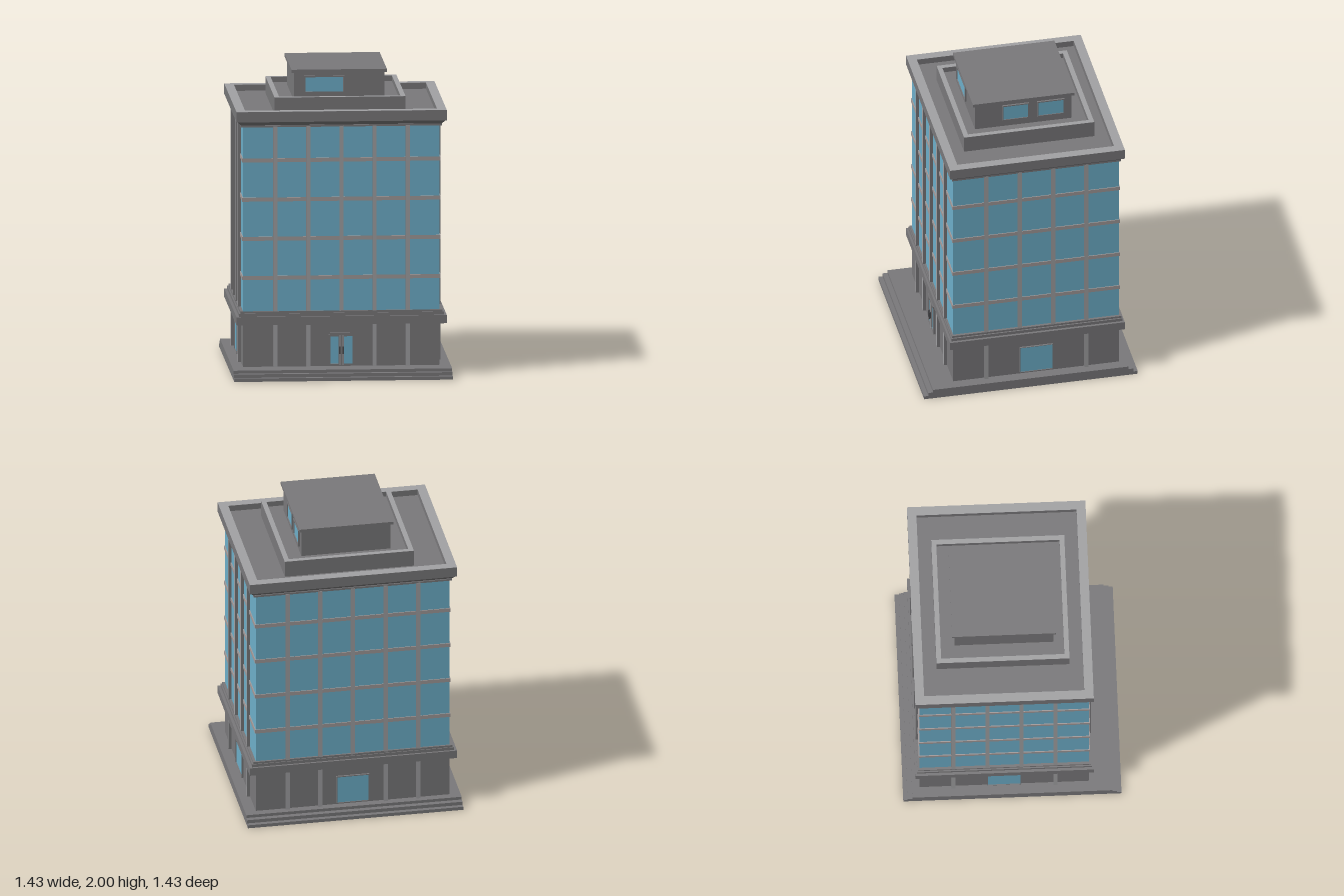
import * as THREE from 'three';

const mat = (name, color) => new THREE.MeshStandardMaterial({ name, color });

export function createModel() {
  const wall = mat('wall grey', 0x7a797b);
  const trim = mat('light trim', 0xa2a2a4);
  const band = mat('floor band', 0xa29b9b);
  const glass = mat('blue glass', 0x6eb0cb);
  const dark = mat('dark metal', 0x4c4c4f);
  const model = new THREE.Group();
  model.name = 'officeTower';

  function add(parent, name, geometry, material, x = 0, y = 0, z = 0) {
    const mesh = new THREE.Mesh(geometry, material);
    mesh.name = name;
    mesh.position.set(x, y, z);
    parent.add(mesh);
    return mesh;
  }

  // Box given by half width, half depth and its bottom and top heights
  function block(parent, name, hw, hd, y0, y1, material = wall, z = 0) {
    return add(parent, name, new THREE.BoxGeometry(hw * 2, y1 - y0, hd * 2), material, 0, (y0 + y1) / 2, z);
  }

  // Box whose lower edge is drawn in, for a flared moulding
  function flare(parent, name, hw, hd, inset, y0, y1) {
    const mesh = block(parent, name, hw, hd, y0, y1);
    const p = mesh.geometry.attributes.position;
    for (let i = 0; i < p.count; i++) {
      if (p.getY(i) < 0) {
        p.setX(i, p.getX(i) - Math.sign(p.getX(i)) * inset);
        p.setZ(i, p.getZ(i) - Math.sign(p.getZ(i)) * inset);
      }
    }
    mesh.geometry.computeVertexNormals();
  }

  // Rectangle with a rectangular opening
  function ringShape(hw, hh, border) {
    const rect = (target, a, b) =>
      target.moveTo(-a, -b).lineTo(a, -b).lineTo(a, b).lineTo(-a, b).closePath();
    const shape = rect(new THREE.Shape(), hw, hh);
    shape.holes.push(rect(new THREE.Path(), hw - border, hh - border));
    return shape;
  }

  // Low wall around a roof, with a light rim on top
  function parapet(parent, name, hw, hd, border, y0, y1) {
    const shape = ringShape(hw, hd, border);
    const body = new THREE.ExtrudeGeometry(shape, { depth: y1 - y0, bevelEnabled: false });
    add(parent, name, body.rotateX(-Math.PI / 2), wall, 0, y0, 0);
    add(parent, name + 'Rim', new THREE.ShapeGeometry(shape).rotateX(-Math.PI / 2), trim, 0, y1 + 0.001, 0);
  }

  // Framed pane on a facade whose surface lies at local z
  function framedPane(parent, name, x, y, z, w, h, border) {
    const frame = new THREE.ExtrudeGeometry(ringShape(w / 2, h / 2, border), { depth: 0.012, bevelEnabled: false });
    add(parent, name + 'Frame', frame, wall, x, y, z);
    add(parent, name + 'Glass', new THREE.BoxGeometry(w - border * 2, h - border * 2, 0.008), glass, x, y, z + 0.002);
  }

  // Stepped base: the steps show on the front and back
  block(model, 'lowerStep', 0.717, 0.715, 0, 0.022);
  block(model, 'middleStep', 0.717, 0.687, 0.022, 0.045);
  block(model, 'upperStep', 0.717, 0.655, 0.045, 0.065);

  // Main volumes
  const tower = new THREE.Group();
  tower.name = 'tower';
  tower.position.z = -0.05;
  model.add(tower);
  const HW = 0.645, HD = 0.555;
  block(tower, 'groundFloor', HW, HD, 0.065, 0.345);
  block(tower, 'ledge', 0.69, 0.585, 0.345, 0.4);
  block(tower, 'ledgeStep', 0.672, 0.572, 0.4, 0.42);
  block(tower, 'glassSill', 0.663, 0.567, 0.42, 0.434);
  block(tower, 'glassBody', HW, HD, 0.434, 1.66, glass);

  // Floor bands around the glass
  for (const y of [0.655, 0.915, 1.175, 1.435]) {
    block(tower, 'floorBand', HW + 0.006, HD + 0.006, y - 0.013, y + 0.013, band);
  }

  // Facades: columns, with a light outer face, and the ground floor windows
  const columnMaterials = [wall, wall, wall, wall, trim, wall];
  function facade(name, turn, dist, upper, lower) {
    const side = new THREE.Group();
    side.name = name;
    side.rotation.y = turn;
    tower.add(side);
    const column = (x, y0, y1) =>
      add(side, 'column', new THREE.BoxGeometry(0.026, y1 - y0, 0.02), columnMaterials, x, (y0 + y1) / 2, dist + 0.01);
    upper.forEach((x) => column(x, 0.434, 1.66));
    lower.forEach((x) => column(x, 0.065, 0.345));
    return side;
  }
  const wide = [-0.435, -0.218, 0, 0.218, 0.435];
  const wideLower = [-0.435, -0.218, 0.218, 0.435];
  const narrow = [-0.335, -0.112, 0.112, 0.335];
  const front = facade('frontFacade', 0, HD, wide, wideLower);
  const back = facade('backFacade', Math.PI, HD, wide, wideLower);
  const left = facade('leftFacade', Math.PI / 2, HW, narrow, [-0.335, 0.335]);
  const right = facade('rightFacade', -Math.PI / 2, HW, narrow, [-0.335, 0.335]);
  framedPane(back, 'backWindow', 0, 0.173, HD, 0.22, 0.2, 0.006);
  framedPane(left, 'sideWindow', 0, 0.175, HW, 0.22, 0.195, 0.003);
  framedPane(right, 'sideWindow', 0, 0.175, HW, 0.22, 0.195, 0.003);

  // Double entrance door
  add(front, 'doorHeader', new THREE.BoxGeometry(0.17, 0.016, 0.016), wall, 0.01, 0.282, HD + 0.008);
  for (const s of [-1, 1]) {
    framedPane(front, 'door', s * 0.045, 0.172, HD, 0.08, 0.208, 0.013);
    add(front, 'doorStile', new THREE.BoxGeometry(0.008, 0.2, 0.004), trim, s * 0.01, 0.172, HD + 0.013);
    add(front, 'doorHandle', new THREE.BoxGeometry(0.01, 0.05, 0.012), dark, s * 0.011, 0.172, HD + 0.02);
  }

  // Cornice, roof terrace and raised tier
  block(tower, 'corniceBase', 0.66, 0.565, 1.655, 1.668);
  flare(tower, 'cornice', 0.683, 0.58, 0.022, 1.668, 1.692);
  block(tower, 'roofDeck', 0.64, 0.535, 1.69, 1.72);
  parapet(tower, 'roofParapet', 0.69, 0.585, 0.06, 1.692, 1.76);
  block(tower, 'tierDeck', 0.41, 0.415, 1.72, 1.795);
  parapet(tower, 'tierParapet', 0.43, 0.436, 0.032, 1.72, 1.83);

  // Rooftop house
  const house = new THREE.Group();
  house.name = 'rooftopHouse';
  house.position.z = -0.038;
  model.add(house);
  block(house, 'houseWalls', 0.297, 0.323, 1.795, 1.98);
  block(house, 'houseRoof', 0.313, 0.34, 1.98, 2);
  framedPane(house, 'houseFrontWindow', -0.097, 1.9, 0.323, 0.268, 0.116, 0.01);
  const houseSide = new THREE.Group();
  houseSide.name = 'houseSideWindows';
  houseSide.rotation.y = Math.PI / 2;
  house.add(houseSide);
  framedPane(houseSide, 'houseWindow', -0.052, 1.9, 0.297, 0.178, 0.116, 0.007);
  framedPane(houseSide, 'houseWindow', 0.184, 1.9, 0.297, 0.184, 0.116, 0.007);

  return model;
}
